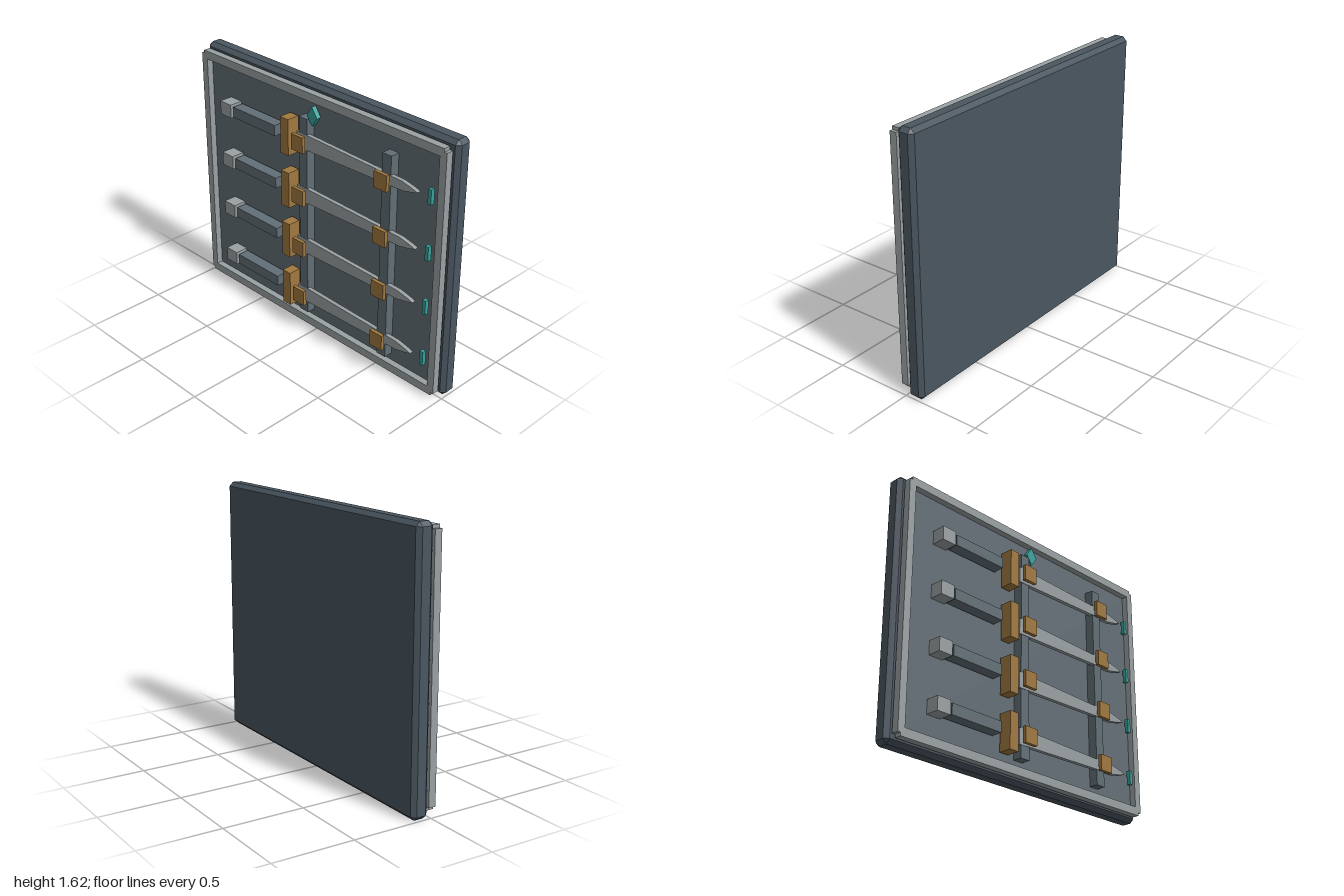
import * as THREE from 'three';
import { ConvexGeometry } from 'three/addons/geometries/ConvexGeometry.js';

const material = (color) => new THREE.MeshStandardMaterial({ color, flatShading: true });

export function createModel() {
  const model = new THREE.Group();
  model.name = 'swordDisplayRack';

  const slate = material(0x4a5660);
  const felt = material(0x626f76);
  const steel = material(0x9aa1a3);
  const bronze = material(0xa0783f);
  const teal = material(0x38a39b);

  const add = (parent, name, geometry, mat) => {
    const mesh = new THREE.Mesh(geometry, mat);
    mesh.name = name;
    parent.add(mesh);
    return mesh;
  };

  // box given by its limits on each axis
  const box = (parent, name, mat, [x0, x1], [y0, y1], [z0, z1]) =>
    add(parent, name, new THREE.BoxGeometry(x1 - x0, y1 - y0, z1 - z0), mat)
      .position.set((x0 + x1) / 2, (y0 + y1) / 2, (z0 + z1) / 2);

  // flat outline extruded from z0 to z1
  const plate = (points, z0, z1) => {
    const shape = new THREE.Shape(points.map(([x, y]) => new THREE.Vector2(x, y)));
    return new THREE.ExtrudeGeometry(shape, { depth: z1 - z0, bevelEnabled: false }).translate(0, 0, z0);
  };

  // box with every edge chamfered
  const chamferBox = (w, h, d, b) => {
    const points = [];
    for (const i of [-1, 1]) for (const j of [-1, 1]) for (const k of [-1, 1]) {
      const [x, y, z] = [w / 2, h / 2, d / 2];
      points.push(
        new THREE.Vector3(i * x, j * (y - b), k * (z - b)),
        new THREE.Vector3(i * (x - b), j * y, k * (z - b)),
        new THREE.Vector3(i * (x - b), j * (y - b), k * z));
    }
    return new ConvexGeometry(points);
  };

  // backing board and inset panel
  add(model, 'backBoard', chamferBox(2, 1.62, 0.108, 0.025), slate).position.set(0, 0.81, -0.066);
  box(model, 'insetPanel', felt, [-0.93, 0.93], [0.08, 1.54], [-0.02, 0.01]);

  // frame bars, leaving small notches at the corners
  const frame = new THREE.Group();
  frame.name = 'frame';
  model.add(frame);
  const frameZ = [0.005, 0.05];
  box(frame, 'bottomBar', steel, [-0.955, 0.955], [0.028, 0.08], frameZ);
  box(frame, 'topBar', steel, [-0.955, 0.955], [1.54, 1.592], frameZ);
  box(frame, 'rightBar', steel, [-0.975, -0.928], [0.048, 1.572], frameZ);
  box(frame, 'leftBar', steel, [0.928, 0.975], [0.048, 1.572], frameZ);

  // upright rails behind the blades
  const railX = [-0.066, 0.583];
  for (const x of railX) box(model, 'rail', felt, [x - 0.033, x + 0.033], [0.127, 1.435], [0.008, 0.068]);

  // diamond ornament above the swords
  add(model, 'diamondOrnament',
    plate([[0, -0.06], [0.042, 0], [0, 0.06], [-0.042, 0]], 0.03, 0.06), teal).position.y = 1.46;

  // four swords with clasps and marker tabs
  const bladeOutline = [[-0.115, -0.05], [0.7, -0.028], [0.77, -0.013], [0.81, 0],
    [0.77, 0.013], [0.7, 0.028], [-0.115, 0.05]];
  for (let i = 0; i < 4; i++) {
    const sword = new THREE.Group();
    sword.name = 'sword';
    sword.position.y = 0.255 + i * 0.345;
    model.add(sword);
    box(sword, 'pommel', steel, [-0.758, -0.663], [-0.043, 0.043], [0.015, 0.1]);
    box(sword, 'grip', felt, [-0.648, -0.279], [-0.034, 0.034], [0.02, 0.093]);
    box(sword, 'guard', bronze, [-0.22, -0.154], [-0.115, 0.115], [0.02, 0.102]);
    add(sword, 'blade', plate(bladeOutline, 0.045, 0.071), steel);
    for (const x of railX) box(sword, 'clasp', bronze, [x - 0.047, x + 0.047], [-0.05, 0.05], [0.095, 0.118]);
    box(sword, 'markerTab', teal, [0.872, 0.895], [-0.045, 0.045], [0.035, 0.061]);
  }
  return model;
}
